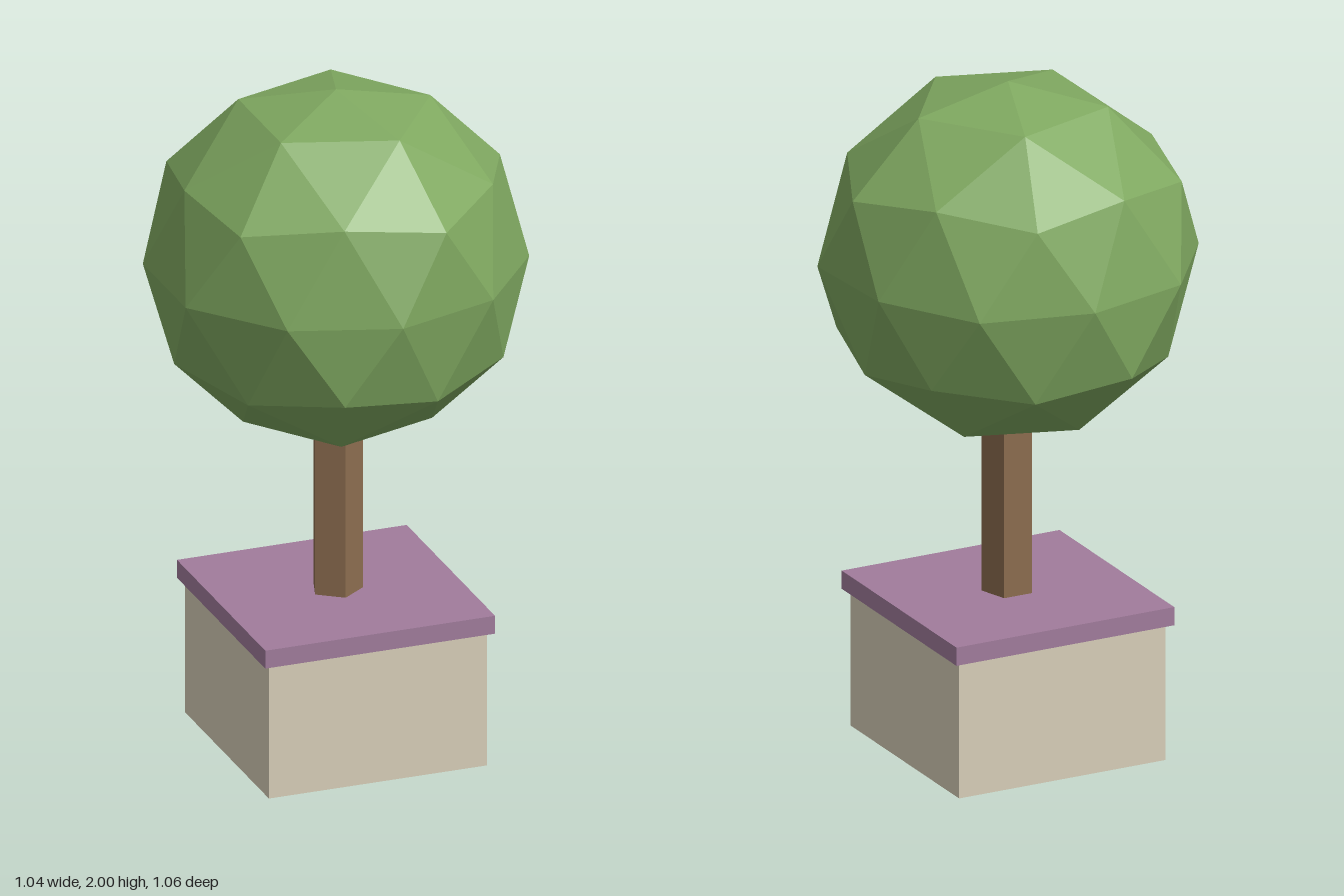
import * as THREE from 'three';

const material = (color) => new THREE.MeshStandardMaterial({ color, flatShading: true });

function addPart(group, name, geometry, color, y) {
  const mesh = new THREE.Mesh(geometry, material(color));
  mesh.name = name;
  mesh.position.y = y;
  group.add(mesh);
}

// Faceted ball with a vertex at each pole; each ring of vertices has its own radius
function crownGeometry() {
  const geometry = new THREE.IcosahedronGeometry(1, 1);
  geometry.rotateZ(-Math.atan(2 / (1 + Math.sqrt(5))));

  // Slightly uneven radii around the equator, every 36 degrees from 18
  const equator = [0.547, 0.53, 0.53, 0.53, 0.547, 0.547, 0.545, 0.53, 0.558, 0.525];
  // Remaining rings as [height on the unit ball, radius]
  const rings = [
    [1, 0.525], [0.851, 0.544], [0.526, 0.54], [0.447, 0.555],
    [-0.447, 0.548], [-0.526, 0.538], [-0.851, 0.535], [-1, 0.525],
  ];

  const position = geometry.attributes.position;
  const v = new THREE.Vector3();
  for (let i = 0; i < position.count; i++) {
    v.fromBufferAttribute(position, i).normalize();
    let radius;
    if (Math.abs(v.y) < 0.1) {
      const degrees = THREE.MathUtils.radToDeg(Math.atan2(v.z, v.x));
      radius = equator[(Math.round((degrees - 18) / 36) + 10) % 10];
    } else {
      radius = rings.find(([height]) => Math.abs(v.y - height) < 0.03)[1];
    }
    v.multiplyScalar(radius);
    position.setXYZ(i, v.x, v.y, v.z);
  }
  geometry.computeVertexNormals();
  return geometry;
}

export function createModel() {
  const tree = new THREE.Group();
  tree.name = 'pottedTree';

  // Square planter with an overhanging lid
  addPart(tree, 'planterBox', new THREE.BoxGeometry(0.66, 0.42, 0.66), 0xd8cfb9, 0.21);
  addPart(tree, 'planterRim', new THREE.BoxGeometry(0.696, 0.055, 0.696), 0xa17c9c, 0.4375);

  // Five-sided trunk with one edge facing forward
  addPart(tree, 'trunk', new THREE.CylinderGeometry(0.076, 0.076, 0.6, 5), 0x8c6d4f, 0.75);

  // Round clipped crown
  addPart(tree, 'crown', crownGeometry(), 0x7fa860, 1.475);

  return tree;
}
